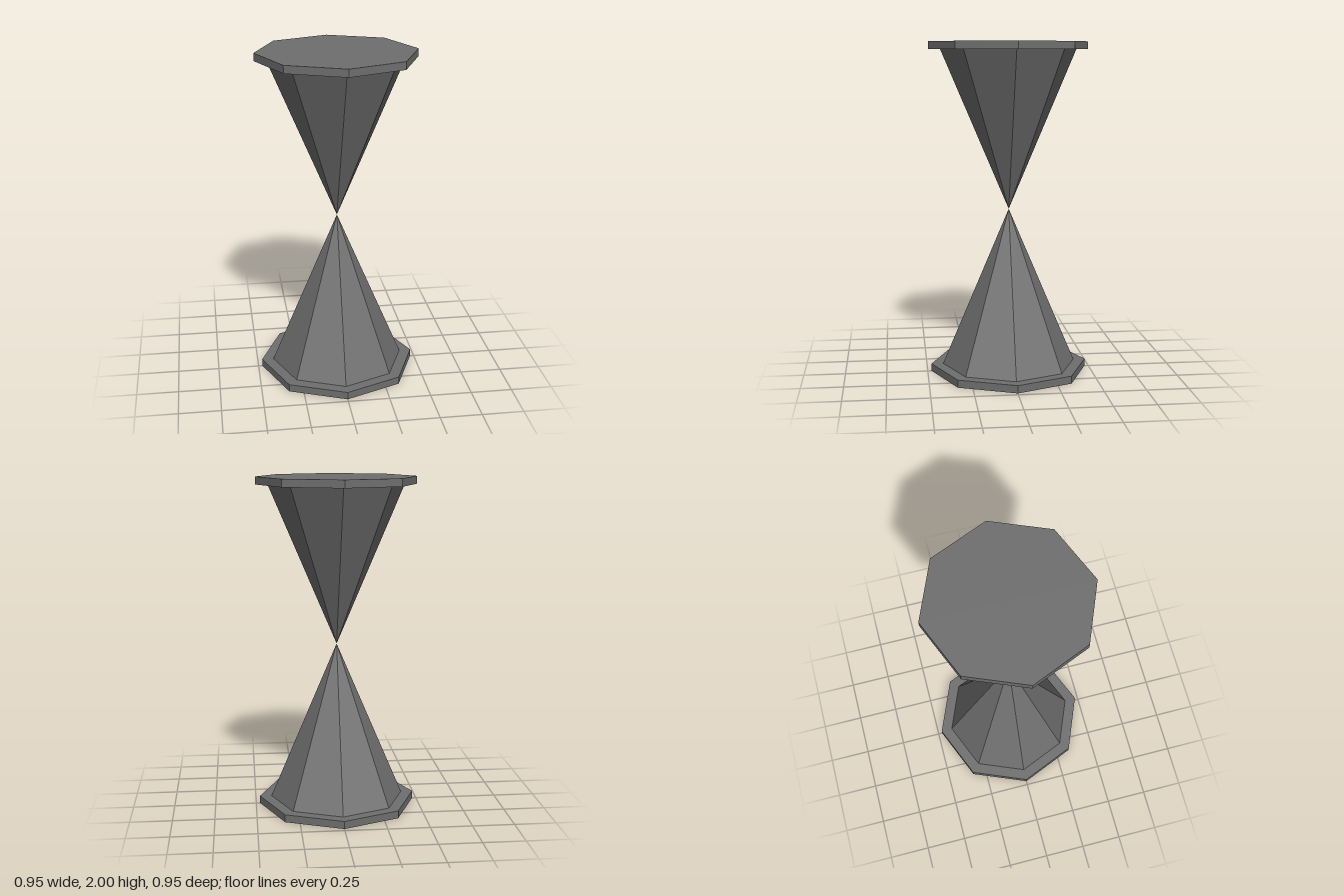
import * as THREE from 'three';

const SIDES = 8;
const PLATE_RADIUS = 0.476;
const PLATE_HEIGHT = 0.046;
const BULB_RADIUS = 0.405;
const MIDDLE = 1;

export function createModel() {
  const group = new THREE.Group();
  group.name = 'hourglass';
  const material = new THREE.MeshStandardMaterial({ color: 0x6e6e6e, flatShading: true });

  // One half: an octagonal plate carrying a cone whose tip meets the middle
  const bulbHeight = MIDDLE - PLATE_HEIGHT;
  const plateGeometry = new THREE.CylinderGeometry(PLATE_RADIUS, PLATE_RADIUS, PLATE_HEIGHT, SIDES);
  const bulbGeometry = new THREE.ConeGeometry(BULB_RADIUS, bulbHeight, SIDES);

  for (const [name, direction] of [['lower', -1], ['upper', 1]]) {
    const plate = new THREE.Mesh(plateGeometry, material);
    plate.name = name + 'Plate';
    plate.position.y = MIDDLE + direction * (MIDDLE - PLATE_HEIGHT / 2);

    const bulb = new THREE.Mesh(bulbGeometry, material);
    bulb.name = name + 'Bulb';
    bulb.position.y = MIDDLE + direction * bulbHeight / 2;
    // Turn the upper cone upside down
    if (direction > 0) bulb.rotation.x = Math.PI;

    group.add(plate, bulb);
  }
  return group;
}
